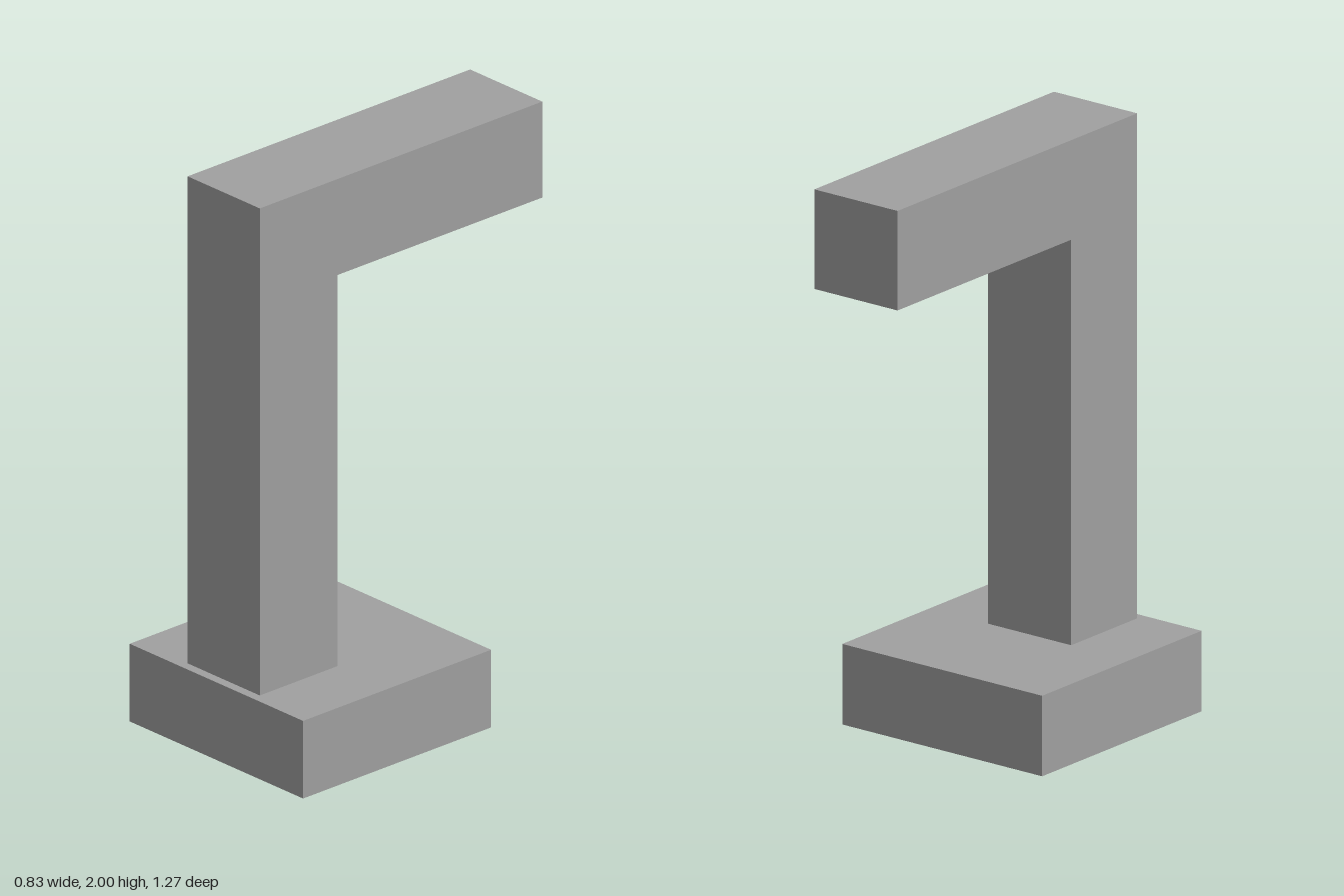
import * as THREE from 'three';

export function createModel() {
  const model = new THREE.Group();
  const grey = new THREE.MeshStandardMaterial({ color: 0xa0a0a0 });
  grey.name = 'grey';

  // Square base block
  const base = new THREE.Mesh(new THREE.BoxGeometry(0.826, 0.275, 0.826), grey);
  base.name = 'base';
  base.position.set(0, 0.1375, 0.224);
  model.add(base);

  // Post and backward-reaching arm: one side profile (z, y) extruded across x
  const width = 0.344;
  const profile = new THREE.Shape([
    [0.262, 0.275], [0.604, 0.275], [0.604, 2],
    [-0.637, 2], [-0.637, 1.66], [0.262, 1.66],
  ].map(([z, y]) => new THREE.Vector2(z, y)));
  const geometry = new THREE.ExtrudeGeometry(profile, { depth: width, bevelEnabled: false });
  geometry.translate(0, 0, -width / 2).rotateY(-Math.PI / 2);
  const postAndArm = new THREE.Mesh(geometry, grey);
  postAndArm.name = 'postAndArm';
  postAndArm.position.x = -0.001;
  model.add(postAndArm);

  return model;
}
